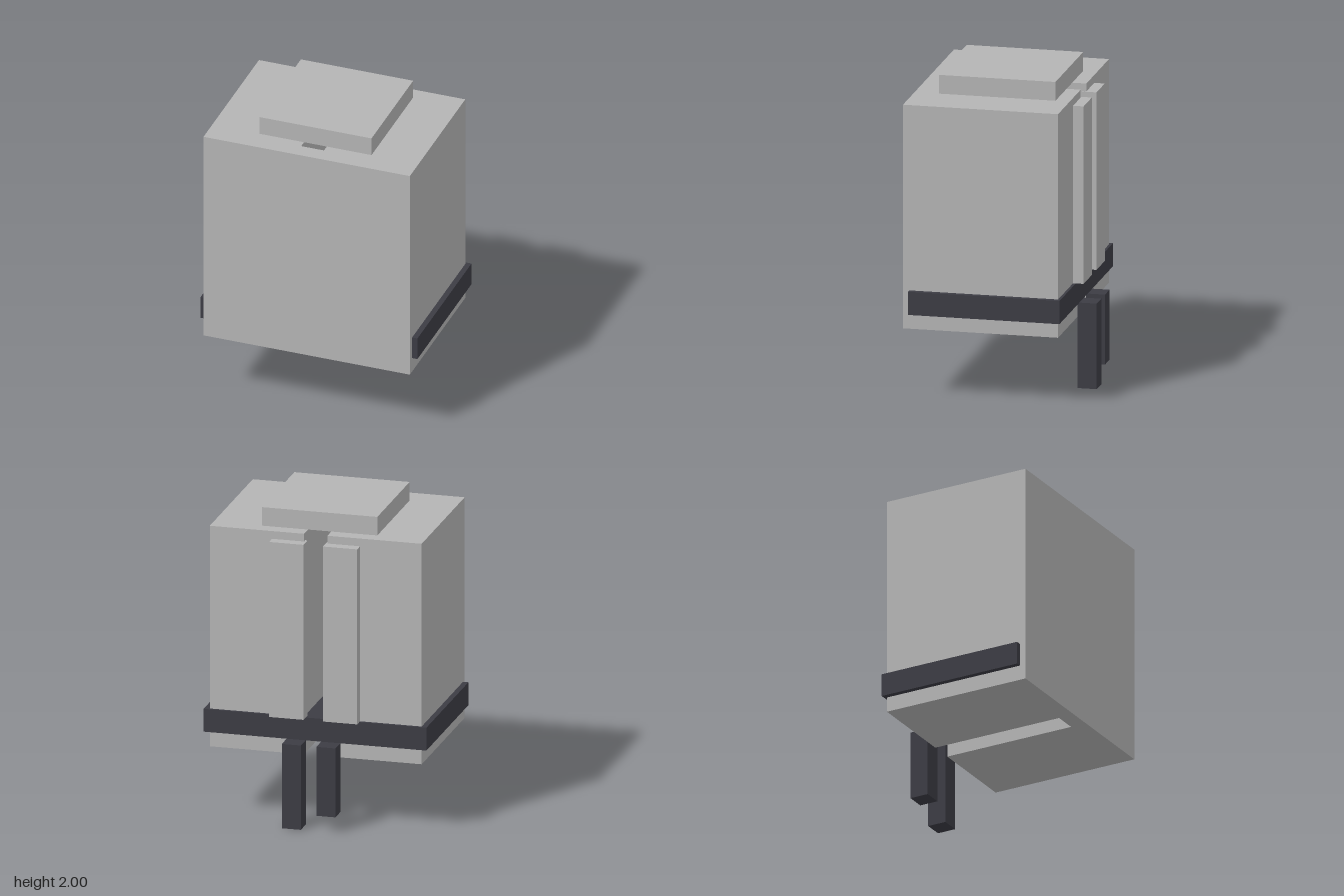
import * as THREE from 'three';

export function createModel() {
  const model = new THREE.Group();
  model.name = 'model';
  const grey = new THREE.MeshStandardMaterial({ color: 0xb4b4b4 });
  grey.name = 'light grey';
  const dark = new THREE.MeshStandardMaterial({ color: 0x3c3c44 });
  dark.name = 'charcoal';

  // Box given by its limits on each axis
  function box(name, material, [x0, x1], [y0, y1], [z0, z1]) {
    const mesh = new THREE.Mesh(new THREE.BoxGeometry(x1 - x0, y1 - y0, z1 - z0), material);
    mesh.position.set((x0 + x1) / 2, (y0 + y1) / 2, (z0 + z1) / 2);
    mesh.name = name;
    model.add(mesh);
  }

  // Body: block with a vertical slot open to the back (outline in x, z)
  const outline = [
    [-0.68, -0.43], [-0.075, -0.43], [-0.075, 0.45], [0.075, 0.45],
    [0.075, -0.43], [0.68, -0.43], [0.68, 0.555], [-0.68, 0.555],
  ];
  const shape = new THREE.Shape(outline.map(([x, z]) => new THREE.Vector2(x, z)));
  const bodyGeometry = new THREE.ExtrudeGeometry(shape, { depth: 1.43, bevelEnabled: false });
  bodyGeometry.rotateX(Math.PI / 2).translate(0, 1.88, 0);
  const body = new THREE.Mesh(bodyGeometry, grey);
  body.name = 'body';
  model.add(body);

  // Raised lid
  box('lid', grey, [-0.37, 0.37], [1.88, 2], [-0.34, 0.4]);

  // Slab passing through the body, showing as a belt and across the slot
  box('beltSlab', dark, [-0.715, 0.715], [0.547, 0.695], [-0.447, 0.515]);

  // Rails on either side of the slot at the back
  box('rightRail', grey, [-0.285, -0.065], [0.695, 1.83], [-0.497, -0.402]);
  box('leftRail', grey, [0.06, 0.28], [0.695, 1.83], [-0.497, -0.402]);

  // Two pegs of unequal length below the belt
  box('shortPeg', dark, [-0.162, -0.04], [0.1, 0.547], [-0.557, -0.435]);
  box('longPeg', dark, [0.06, 0.182], [0, 0.547], [-0.557, -0.435]);

  return model;
}
